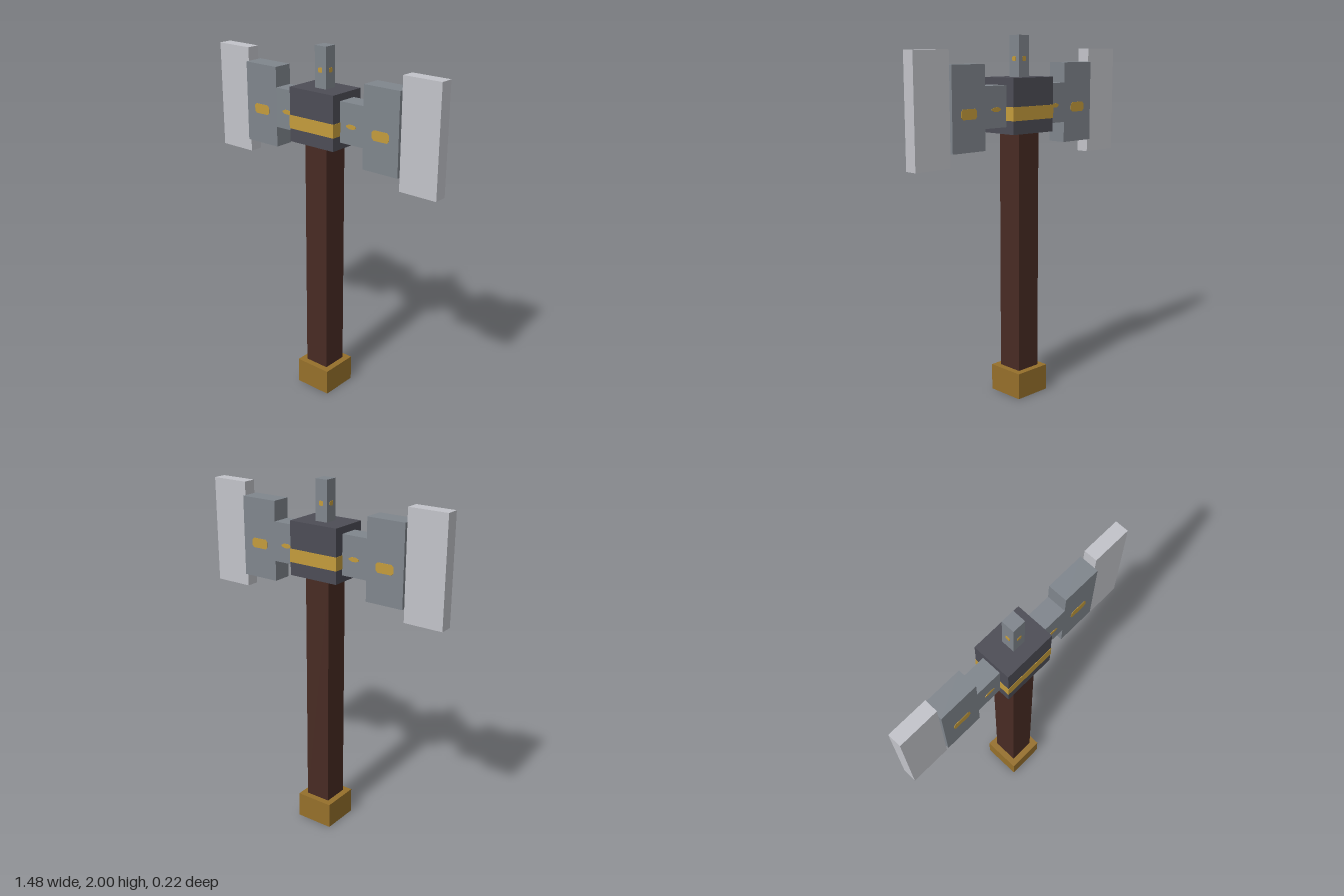
import * as THREE from 'three';

const material = (name, color) => {
  const m = new THREE.MeshStandardMaterial({ color });
  m.name = name;
  return m;
};

export function createModel() {
  const wood = material('dark wood', 0x482b23);
  const brass = material('brass', 0x96702b);
  const gold = material('gold', 0xc49c3c);
  const iron = material('dark iron', 0x4d4d56);
  const steel = material('steel', 0x80868d);
  const edge = material('bright steel', 0xc3c4ca);

  const model = new THREE.Group();
  model.name = 'doubleAxe';

  // Box given by its x and y ranges and its half depth
  const box = (name, mat, x0, x1, y0, y1, halfZ) => {
    const mesh = new THREE.Mesh(new THREE.BoxGeometry(x1 - x0, y1 - y0, halfZ * 2), mat);
    mesh.position.set((x0 + x1) / 2, (y0 + y1) / 2, 0);
    mesh.name = name;
    model.add(mesh);
  };

  // Thin gold inlay with clipped corners, lying on a face turned by angle about y
  const inlay = (name, x, y, faceDepth, w, h, cutX, cutY, angle = 0) => {
    const a = w / 2, b = h / 2;
    const shape = new THREE.Shape([
      [-a + cutX, -b], [a - cutX, -b], [a, -b + cutY], [a, b - cutY],
      [a - cutX, b], [-a + cutX, b], [-a, b - cutY], [-a, -b + cutY],
    ].map(([px, py]) => new THREE.Vector2(px, py)));
    const geo = new THREE.ExtrudeGeometry(shape, { depth: 0.004, bevelEnabled: false });
    geo.translate(0, 0, faceDepth - 0.002).rotateY(angle);
    const mesh = new THREE.Mesh(geo, gold);
    mesh.position.set(x, y, 0);
    mesh.name = name;
    model.add(mesh);
  };

  // Handle
  box('pommel', brass, -0.11, 0.11, 0, 0.148, 0.11);
  box('shaft', wood, -0.074, 0.074, 0.148, 1.485, 0.074);

  // Central head block with its band and top spike
  box('headBlock', iron, -0.148, 0.148, 1.485, 1.78, 0.11);
  box('headBand', gold, -0.15, 0.15, 1.557, 1.63, 0.112);
  box('spike', steel, -0.037, 0.037, 1.78, 2, 0.037);
  for (let i = 0; i < 4; i++) {
    inlay('spikeInlay', 0, 1.876, 0.037, 0.026, 0.026, 0.005, 0.005, i * Math.PI / 2);
  }

  // Mirrored blades, stepping wider towards the cutting edge
  for (const [side, s] of [['left', 1], ['right', -1]]) {
    const part = (name, mat, x0, x1, y0, y1, halfZ) =>
      box(side + name, mat, Math.min(s * x0, s * x1), Math.max(s * x0, s * x1), y0, y1, halfZ);
    part('Neck', steel, 0.148, 0.298, 1.523, 1.742, 0.055);
    part('Cheek', steel, 0.298, 0.518, 1.41, 1.853, 0.055);
    part('CuttingEdge', edge, 0.518, 0.74, 1.337, 1.927, 0.037);
    for (const angle of [0, Math.PI]) {
      inlay(side + 'NeckInlay', s * 0.221, 1.619, 0.055, 0.062, 0.024, 0.018, 0.008, angle);
      inlay(side + 'CheekInlay', s * 0.407, 1.604, 0.055, 0.106, 0.054, 0.012, 0.012, angle);
    }
  }
  return model;
}
